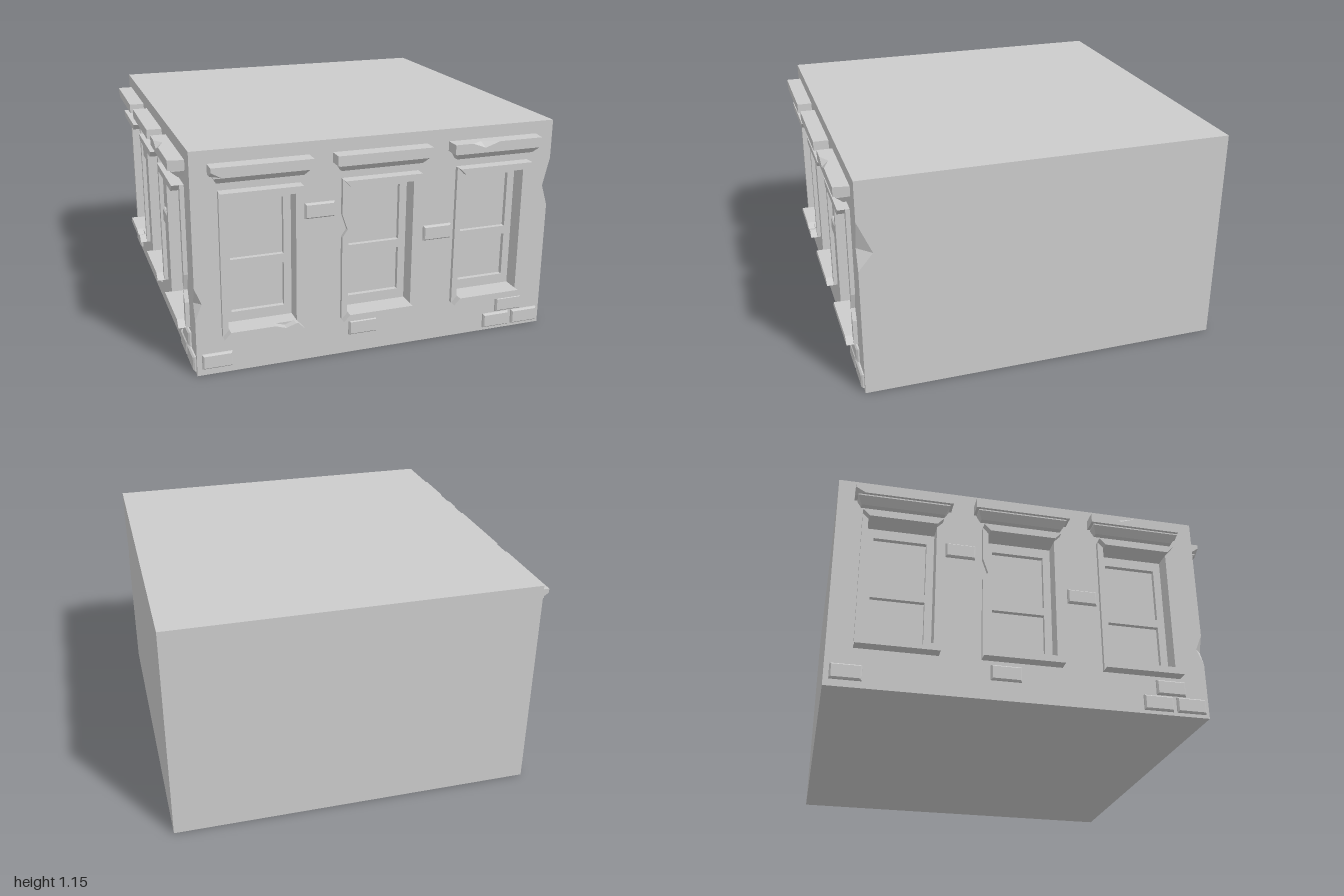
import * as THREE from 'three';
import { ConvexGeometry } from 'three/addons/geometries/ConvexGeometry.js';

const H = 1.155;   // storey height
const W = 0.96;    // half width of the square block
const WINDOWS = [-0.625, -0.005, 0.615];
const mat = new THREE.MeshStandardMaterial({ color: 0xcccccc, flatShading: true, side: THREE.DoubleSide });

const V = (x, y, z) => new THREE.Vector3(x, y, z);
const poly = (pts) => pts.map(([x, y]) => new THREE.Vector2(x, y));
const rect = (x0, x1, y0, y1) => poly([[x0, y0], [x1, y0], [x1, y1], [x0, y1]]);

function add(parent, name, geo) {
  const mesh = new THREE.Mesh(geo, mat);
  mesh.name = name;
  parent.add(mesh);
  return mesh;
}

// Outline with optional holes, extruded from z0 to z1
function slab(outline, holes, z0, z1) {
  const s = new THREE.Shape(outline);
  holes.forEach((h) => s.holes.push(new THREE.Path(h)));
  return new THREE.ExtrudeGeometry(s, { depth: z1 - z0, bevelEnabled: false }).translate(0, 0, z0);
}

// One wall face; a notch is [top, bottom, tipHeight, depth] on a vertical edge
function wall(parent, name, left, right, holes = []) {
  const pts = [[-W, 0], [W, 0]];
  if (right) pts.push([W, right[1]], [W - right[3], right[2]], [W, right[0]]);
  pts.push([W, H], [-W, H]);
  if (left) pts.push([-W, left[0]], [-W + left[3], left[2]], [-W, left[1]]);
  const s = new THREE.Shape(poly(pts));
  holes.forEach((h) => s.holes.push(new THREE.Path(h)));
  add(parent, name, new THREE.ShapeGeometry(s).translate(0, 0, W));
}

// Two triangles lining a broken corner
function chip(parent, top, bottom, a, b) {
  const geo = new THREE.BufferGeometry().setFromPoints([top, a, b, a, bottom, b]);
  geo.computeVertexNormals();
  add(parent, 'cornerChip', geo);
}

// Stone lintel: slab above a tapered moulding; 0 = chipped end, 1 = whole, 2 = broken top
function lintel(parent, kind) {
  const y0 = 1.04, y1 = 1.09, z0 = W - 0.01, z1 = 1.04, w = 0.25;
  const end = (x, xf = x) => [V(x, y0, z0), V(x, y1, z0), V(x, y1, z1).setX(xf), V(xf, y0, z1)];
  if (kind === 2) {
    const split = [V(-0.09, y0, z0), V(-0.09, y1, z0), V(-0.095, y1, 1.005), V(-0.085, 1.063, z1), V(-0.085, y0, z1)];
    add(parent, 'lintelSlab', new ConvexGeometry([...end(-w), V(-0.155, y1, z1), ...split]));
    add(parent, 'lintelSlab', new ConvexGeometry([...end(w, 0.235), V(-0.005, y1, z1), ...split]));
  } else if (kind === 0) {
    add(parent, 'lintelSlab', new ConvexGeometry([...end(w), ...end(-w).slice(0, 3),
      V(-w, 1.068, z1), V(-0.2, y0, z1), V(-w, y0, 1.0)]));
  } else {
    add(parent, 'lintelSlab', new ConvexGeometry([...end(-w), ...end(w)]));
  }
  const ring = (x, y, z) => [V(-x, y, z0), V(x, y, z0), V(-x, y, z), V(x, y, z)];
  add(parent, 'lintelMoulding', new ConvexGeometry([
    ...ring(0.235, 1.04, 1.025), ...ring(0.235, 1.033, 1.025), ...ring(0.215, 1.0, 0.99)]));
}

// Window: casing, mitred head and sill, sash with two panes
function windowUnit(parent, i) {
  const g = new THREE.Group();
  g.name = 'window';
  g.position.x = WINDOWS[i];
  parent.add(g);
  const outer = [[-0.205, 0.205], [0.205, 0.205]];
  if (i === 2) outer.push([0.205, 0.34], [0.178, 0.4], [0.205, 0.49]);
  outer.push([0.205, 0.955], [-0.205, 0.955]);
  if (i === 1) outer.push([-0.205, 0.77], [-0.178, 0.69], [-0.205, 0.65]);
  add(g, 'casing', slab(poly(outer), [rect(-0.175, 0.175, 0.237, 0.923)], 0.88, 0.982));
  add(g, 'headBar', slab(poly([[-0.205, 0.955], [-0.172, 0.92], [0.172, 0.92], [0.205, 0.955]]), [], 0.975, 1.02));
  const sill = [[-0.205, 0.205], [0.205, 0.205], [0.172, 0.24]];
  if (i === 0) sill.push([0.16, 0.24], [0.11, 0.222], [0.055, 0.24]);
  sill.push([-0.172, 0.24]);
  add(g, 'sillBar', slab(poly(sill), [], 0.975, 1.02));
  const panes = [rect(-0.138, 0.136, 0.57, 0.87), rect(-0.138, 0.136, 0.29, 0.525)];
  add(g, 'sash', slab(rect(-0.18, 0.18, 0.23, 0.93), panes, 0.86, 0.895));
  add(g, 'panes', new THREE.PlaneGeometry(0.35, 0.69).translate(0, 0.58, 0.87));
  lintel(g, i);
}

// Raised brick with bevelled face
function brick(parent, x, y) {
  const pts = [];
  for (const [hw, hh, z] of [[0.078, 0.04, W - 0.005], [0.076, 0.039, 0.968], [0.069, 0.032, 0.976]])
    for (const sx of [-1, 1]) for (const sy of [-1, 1]) pts.push(V(x + sx * hw, y + sy * hh, z));
  add(parent, 'brick', new ConvexGeometry(pts));
}

function decorate(parent) {
  WINDOWS.forEach((_, i) => windowUnit(parent, i));
  [[-0.857, 0.075], [-0.323, 0.805], [0.315, 0.613], [-0.087, 0.142], [0.763, 0.145], [0.692, 0.058], [0.865, 0.058]]
    .forEach(([x, y]) => brick(parent, x, y));
}

export function createModel() {
  const model = new THREE.Group();
  model.name = 'buildingStorey';
  const block = new THREE.Group();
  block.name = 'block';
  block.position.set(0.04, 0, -0.04);
  model.add(block);

  const side = (name, angle) => {
    const g = new THREE.Group();
    g.name = name;
    g.rotation.y = angle;
    block.add(g);
    return g;
  };
  const openings = WINDOWS.map((x) => rect(x - 0.175, x + 0.175, 0.237, 0.923));

  // Two decorated faces
  const front = side('frontFacade', 0);
  wall(front, 'frontWall', [0.47, 0.3, 0.385, 0.035], [0.95, 0.69, 0.8, 0.035], openings);
  decorate(front);
  const flank = side('rightFacade', -Math.PI / 2);
  wall(flank, 'rightWall', null, [0.47, 0.3, 0.385, 0.035], openings);
  decorate(flank);

  // Plain faces, roof and floor
  wall(side('leftSide', Math.PI / 2), 'leftWall', [0.95, 0.69, 0.78, 0.075], null);
  wall(side('backSide', Math.PI), 'backWall', null, null);
  add(block, 'roof', new THREE.PlaneGeometry(2 * W, 2 * W).rotateX(-Math.PI / 2).translate(0, H, 0));
  add(block, 'floor', new THREE.PlaneGeometry(2 * W, 2 * W).rotateX(Math.PI / 2));

  // Broken corners
  chip(block, V(W, 0.95, W), V(W, 0.69, W), V(W - 0.035, 0.8, W), V(W, 0.78, W - 0.075));
  chip(block, V(-W, 0.47, W), V(-W, 0.3, W), V(-W, 0.385, W - 0.035), V(-W + 0.035, 0.385, W));
  return model;
}
